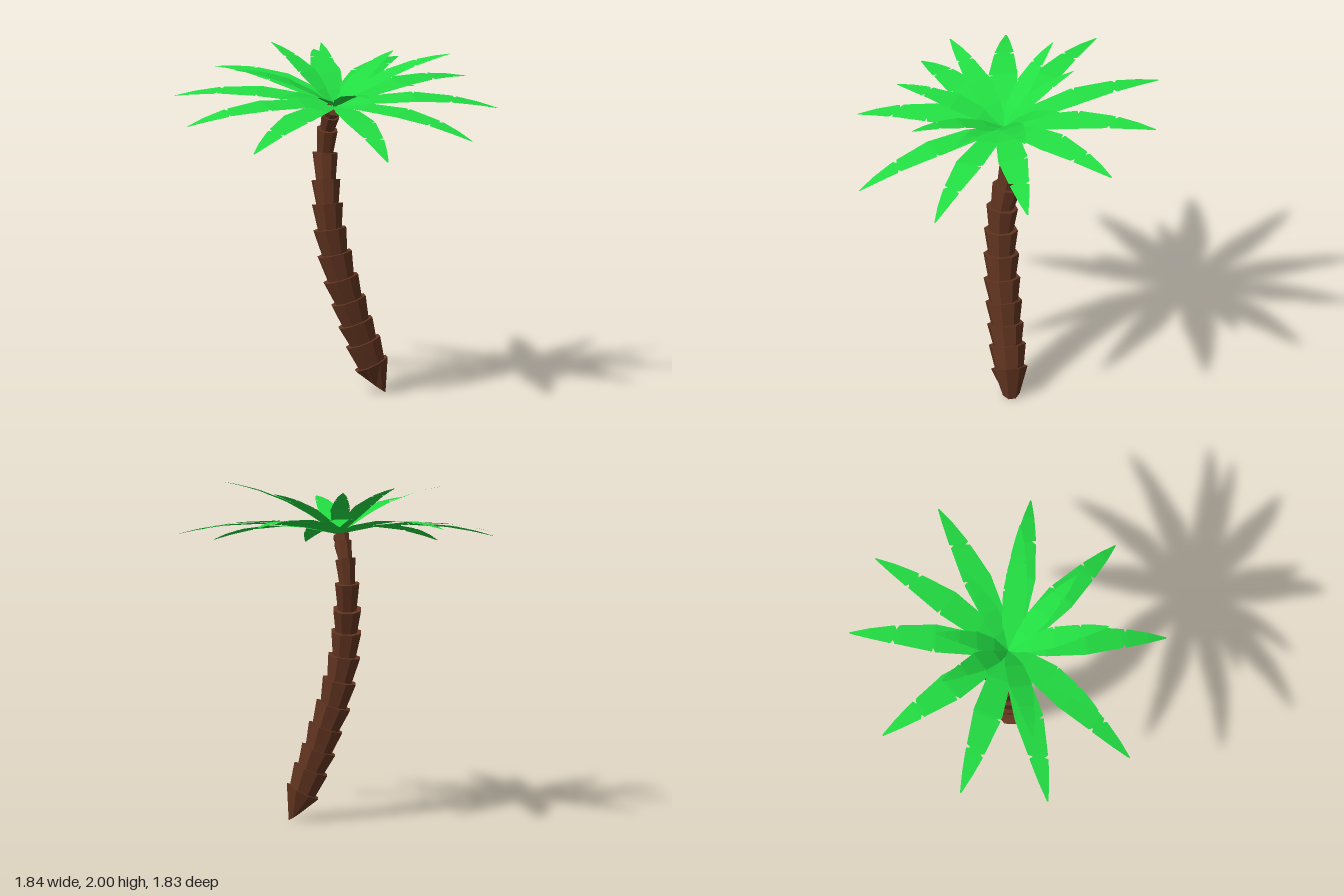
import * as THREE from 'three';

const V = (x, y, z) => new THREE.Vector3(x, y, z);
const bark = new THREE.MeshStandardMaterial({ color: 0x613420, flatShading: true });
const leaf = new THREE.MeshStandardMaterial({ color: 0x22dd42, flatShading: true, side: THREE.DoubleSide });
const SIDES = 8;

// Trunk joints: centre x, y, z and flared top radius
const joints = [
  [0.193, 0.165, 0.02, 0.1], [0.145, 0.295, 0.02, 0.101], [0.1, 0.41, 0.02, 0.1], [0.06, 0.54, 0.02, 0.1],
  [0.015, 0.67, 0.02, 0.1], [-0.02, 0.815, 0.015, 0.097], [-0.048, 0.96, 0.01, 0.092], [-0.06, 1.105, 0, 0.086],
  [-0.065, 1.24, -0.03, 0.08], [-0.065, 1.395, -0.065, 0.07], [-0.055, 1.535, -0.05, 0.058],
  [-0.04, 1.625, -0.012, 0.05], [-0.03, 1.66, 0.018, 0.046],
];

// Ring of points around a centre, facing along an axis
function ring(centre, axis, r) {
  const n = axis.clone().normalize();
  const u = V(1, 0, 0).addScaledVector(n, -n.x).normalize();
  const w = new THREE.Vector3().crossVectors(u, n);
  return Array.from({ length: SIDES }, (_, i) => {
    const a = ((i + 0.5) / SIDES) * Math.PI * 2;
    const k = r / Math.cos(Math.PI / SIDES);
    return centre.clone().addScaledVector(u, Math.cos(a) * k).addScaledVector(w, Math.sin(a) * k);
  });
}

function toGeometry(points, index) {
  const g = new THREE.BufferGeometry().setFromPoints(points);
  g.setIndex(index);
  g.computeVertexNormals();
  return g;
}

// Closed frustum between two rings
function segmentGeometry(low, high, lowCentre, highCentre) {
  const index = [], N = SIDES;
  for (let i = 0; i < N; i++) {
    const j = (i + 1) % N;
    index.push(i, N + i, j, j, N + i, N + j);
    index.push(2 * N, i, j, 2 * N + 1, N + j, N + i);
  }
  return toGeometry([...low, ...high, lowCentre, highCentre], index);
}

function buildTrunk() {
  const trunk = new THREE.Group();
  trunk.name = 'trunk';
  const centres = joints.map(([x, y, z]) => V(x, y, z));
  const curve = new THREE.CatmullRomCurve3(centres);
  const axes = centres.map((_, i) => curve.getTangent(i / (centres.length - 1)));
  axes[0].set(-0.42, 0.9, 0);
  joints.forEach(([, , , r], i) => {
    const first = i === 0;
    const lowC = first ? V(0.232, 0.026, 0.022) : centres[i - 1].clone().addScaledVector(axes[i - 1], -0.01);
    const low = first ? ring(lowC, V(0.55, 0.8, 0), 0.05) : ring(lowC, axes[i - 1], r * 0.76);
    const mesh = new THREE.Mesh(segmentGeometry(low, ring(centres[i], axes[i], r), lowC, centres[i]), bark);
    mesh.name = 'trunkSegment' + (i + 1);
    trunk.add(mesh);
  });
  return trunk;
}

// Frond outline rows: distance along, half width left, half width right (with torn slits)
const outline = [
  [0, 0.018, 0.018], [0.22, 0.07, 0.07], [0.47, 0.087, 0.087], [0.485, 0.06, 0.086], [0.49, 0.085, 0.084],
  [0.7, 0.06, 0.06], [0.715, 0.058, 0.034], [0.725, 0.057, 0.057], [0.735, 0.034, 0.056], [0.75, 0.055, 0.054],
  [0.88, 0.032, 0.032], [1, 0.004, 0.004],
];
const crown = V(-0.015, 1.675, 0);
const crownUp = V(0.03, 0.98, 0.2).normalize();

// Flat, arched leaf from the crown to its tip
function frondGeometry(tip) {
  const span = tip.clone().sub(crown), len = span.length();
  const dir = span.clone().normalize();
  const side = new THREE.Vector3().crossVectors(crownUp, dir).normalize();
  const up = new THREE.Vector3().crossVectors(dir, side);
  const width = 0.2 + 0.8 * Math.min(1, len / 0.92);
  const points = [], index = [];
  outline.forEach(([t, l, r], i) => {
    const mid = crown.clone().addScaledVector(span, t).addScaledVector(up, 0.27 * len * t * (1 - t));
    points.push(mid.clone().addScaledVector(side, l * width), mid.clone().addScaledVector(side, -r * width));
    if (i) {
      const a = 2 * (i - 1), b = 2 * i;
      index.push(a, b, a + 1, a + 1, b, b + 1);
    }
  });
  return toGeometry(points, index);
}

const outerTips = [
  [-0.015, 1.86, -0.92], [0.46, 1.83, -0.79], [0.805, 1.765, -0.44], [0.92, 1.66, 0.09], [0.705, 1.55, 0.59],
  [0.17, 1.49, 0.91], [-0.59, 1.525, 0.73], [-0.915, 1.62, 0.27], [-0.92, 1.72, -0.235], [-0.62, 1.81, -0.7],
];
const innerTips = [
  [-0.04, 1.98, -0.42], [-0.34, 2, -0.37], [0.36, 1.95, -0.27], [0.65, 1.975, 0.04],
  [0.4, 1.85, 0.38], [0.11, 1.81, 0.58], [-0.41, 1.81, 0.54], [-0.63, 1.93, 0.17],
];

function buildFronds(name, tips) {
  const group = new THREE.Group();
  group.name = name + 's';
  tips.forEach((p, i) => {
    const mesh = new THREE.Mesh(frondGeometry(V(...p)), leaf);
    mesh.name = name + (i + 1);
    group.add(mesh);
  });
  return group;
}

export function createModel() {
  const tree = new THREE.Group();
  tree.name = 'palmTree';
  tree.add(buildTrunk(), buildFronds('outerFrond', outerTips), buildFronds('innerFrond', innerTips));
  return tree;
}
